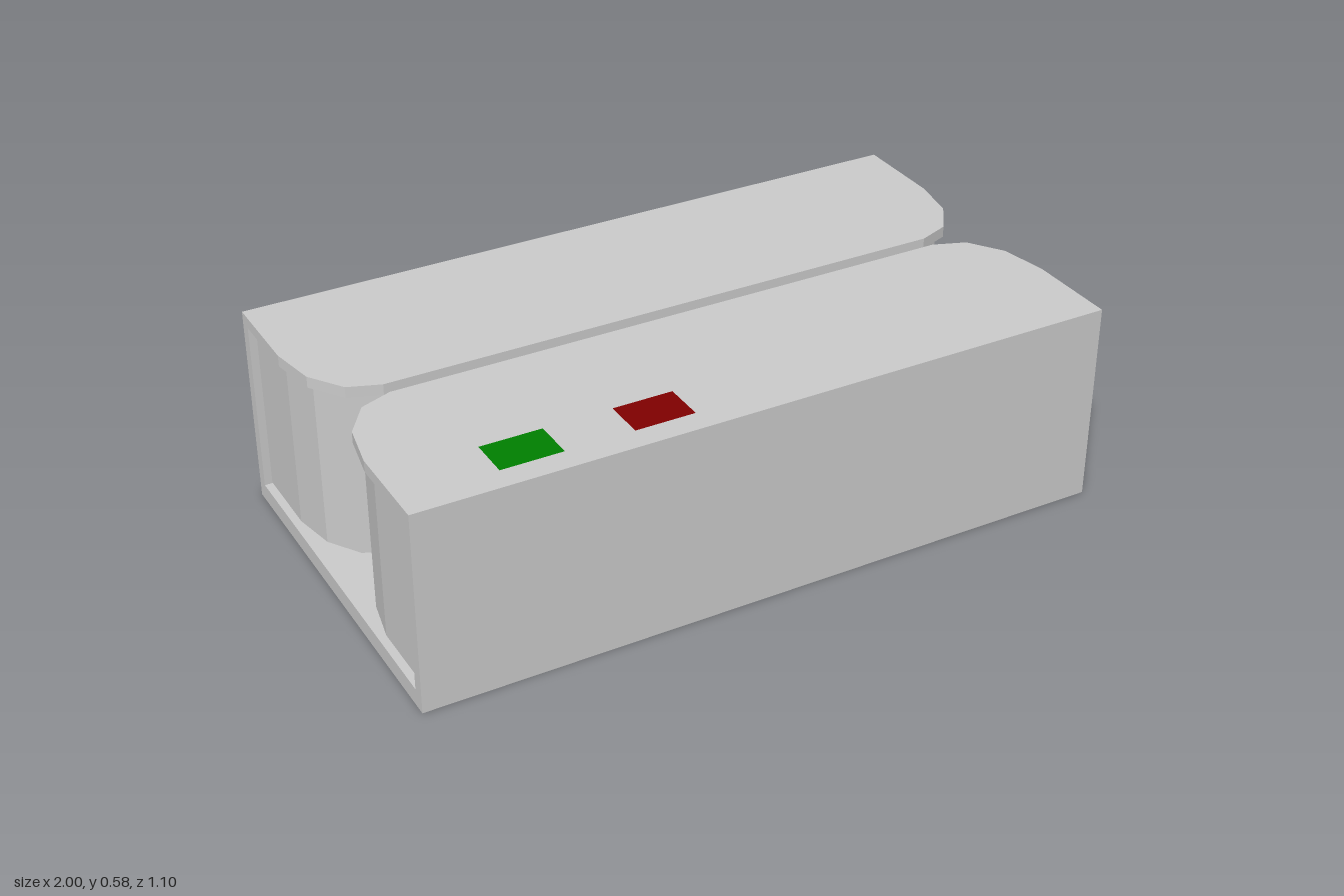
import * as THREE from 'three';

const casing = new THREE.MeshStandardMaterial({ color: 0xcccccc, flatShading: true });

function addBox(parent, name, [x0, x1], [y0, y1], [z0, z1], material = casing) {
  const mesh = new THREE.Mesh(new THREE.BoxGeometry(x1 - x0, y1 - y0, z1 - z0), material);
  mesh.position.set((x0 + x1) / 2, (y0 + y1) / 2, (z0 + z1) / 2);
  mesh.name = name;
  parent.add(mesh);
}

// Slab with a straight outer side and faceted round corners on the inner side
function addSlab(parent, name, corner, outerZ, [y0, y1], holes = []) {
  const halfX = corner[0][0];
  const shape = new THREE.Shape();
  shape.moveTo(-halfX, outerZ);
  shape.lineTo(halfX, outerZ);
  corner.forEach(([x, z]) => shape.lineTo(x, z));
  [...corner].reverse().forEach(([x, z]) => shape.lineTo(-x, z));
  shape.closePath();
  for (const [a, b, c, d] of holes) {
    const hole = new THREE.Path();
    hole.moveTo(a, c).lineTo(a, d).lineTo(b, d).lineTo(b, c).closePath();
    shape.holes.push(hole);
  }
  const geometry = new THREE.ExtrudeGeometry(shape, { depth: y1 - y0, bevelEnabled: false });
  geometry.rotateX(Math.PI / 2).translate(0, y1, 0);
  const mesh = new THREE.Mesh(geometry, casing);
  mesh.name = name;
  parent.add(mesh);
}

const plateCorner = [[1, 0.285], [0.975, 0.15], [0.91, 0.055], [0.82, 0.021]];
const blockCorner = [[0.98, 0.29], [0.955, 0.165], [0.895, 0.073], [0.81, 0.039]];
const windows = [
  { name: 'greenPanel', color: 0x008000, x: [-0.735, -0.54] },
  { name: 'redPanel', color: 0x800000, x: [-0.37, -0.175] },
];
const windowZ = [0.315, 0.48];

export function createModel() {
  const model = new THREE.Group();
  model.name = 'twinChannelBox';

  // Base slab
  addBox(model, 'base', [-1, 1], [0, 0.05], [-0.55, 0.55]);

  // Two mirrored halves: outer wall, top plate and inner block
  for (const front of [true, false]) {
    const half = new THREE.Group();
    half.name = front ? 'frontHalf' : 'backHalf';
    half.rotation.y = front ? 0 : Math.PI;
    const holes = front ? windows.map(w => [...w.x, ...windowZ]) : [];
    addBox(half, 'outerWall', [-1, 1], [0.05, 0.548], [0.515, 0.55]);
    addSlab(half, 'topPlate', plateCorner, 0.55, [0.548, 0.58], holes);
    addSlab(half, 'innerBlock', blockCorner, 0.508, [0.057, 0.54]);
    model.add(half);
  }

  // Coloured panels under the openings in the front plate
  for (const w of windows) {
    const paint = new THREE.MeshStandardMaterial({ color: w.color });
    addBox(model, w.name, w.x, [0.54, 0.548], windowZ, paint);
  }
  return model;
}
